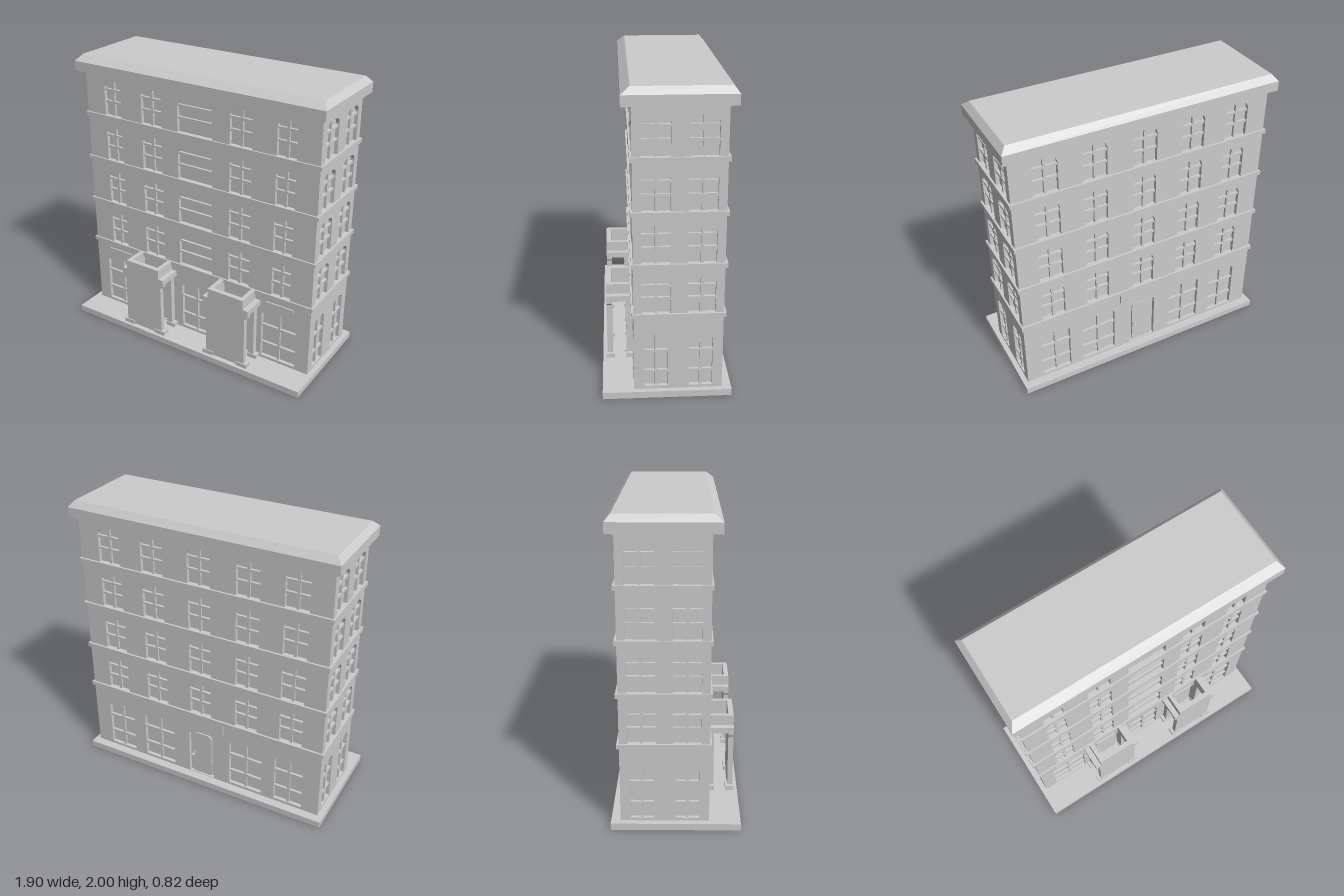
import * as THREE from 'three';

const mat = new THREE.MeshStandardMaterial({ color: 0xcccccc, flatShading: true });
const T = 0.025; // wall thickness, also the window recess

function mesh(name, geo, parent) {
  const m = new THREE.Mesh(geo, mat);
  m.name = name;
  parent.add(m);
  return m;
}

// Box given by its limits on each axis
function box(parent, name, x0, x1, y0, y1, z0, z1) {
  const m = mesh(name, new THREE.BoxGeometry(x1 - x0, y1 - y0, z1 - z0), parent);
  m.position.set((x0 + x1) / 2, (y0 + y1) / 2, (z0 + z1) / 2);
  return m;
}

// Rectangle whose top corners are cut into a faceted arch
function archPoints(x, w, y0, y1, c) {
  const half = [[w / 2, y0], [w / 2, y1 - c], [w / 2 - c * 0.3, y1 - c * 0.35], [w / 2 - c, y1]];
  const left = half.map(([a, b]) => [-a, b]).reverse();
  return [...half, ...left].map(([a, b]) => new THREE.Vector2(x + a, b));
}

function extrude(shape, depth) {
  return new THREE.ExtrudeGeometry(shape, { depth, bevelEnabled: false });
}

// Wall with openings; local +z points outward and z = 0 is the outer face
function wall(parent, name, width, openings) {
  const g = new THREE.Group();
  g.name = name;
  const w = width / 2;
  const shape = new THREE.Shape([[-w, 0.04], [w, 0.04], [w, 1.9], [-w, 1.9]].map(p => new THREE.Vector2(...p)));
  for (const o of openings) shape.holes.push(new THREE.Path(archPoints(o.x, o.w, o.y0, o.y1, o.c)));
  mesh('wallPanel', extrude(shape, T), g).position.z = -T;

  for (const o of openings) {
    if (o.door) {
      // door leaf and its knob
      const leaf = new THREE.Shape(archPoints(o.x, o.w - 0.05, o.y0, o.y1 - 0.02, o.c));
      mesh('doorLeaf', extrude(leaf, 0.012), g).position.z = -T;
      const kx = o.x - 0.065;
      box(g, 'knobPlate', kx - 0.01, kx + 0.01, 0.2, 0.228, -0.014, -0.007);
      box(g, 'knobStem', kx - 0.004, kx + 0.004, 0.21, 0.218, -0.01, 0.008);
      mesh('knob', new THREE.SphereGeometry(0.01, 8, 6), g).position.set(kx, 0.214, 0.012);
    } else {
      // glazing bars
      for (const y of o.rows) box(g, 'crossBar', o.x - o.w / 2, o.x + o.w / 2, y - 0.008, y + 0.008, -T, -0.007);
      for (const x of o.cols) box(g, 'uprightBar', o.x + x - 0.009, o.x + x + 0.009, o.y0, o.y1, -T, -0.009);
    }
  }
  parent.add(g);
  return g;
}

const floors = [0.582, 0.917, 1.252, 1.587];
const upperWindows = list => floors.flatMap(y => list.map(([x, w]) => ({
  x, w, y0: y, y1: y + 0.248, c: w > 0.2 ? 0.06 : 0.04,
  rows: [y + 0.1, y + 0.185], cols: w > 0.2 ? [] : [0],
})));
const groundWindows = list => list.map(([x, w]) => ({
  x, w, y0: 0.065, y1: 0.435, c: 0.03, rows: [0.17, 0.315], cols: [0],
}));
const door = (x, w) => ({ x, w, y0: 0.05, y1: 0.42, c: 0.03, door: true });

// Free-standing door porch, open on top, centred on x = 0
function porch(parent, x) {
  const g = new THREE.Group();
  g.name = 'porch';
  g.position.x = x;
  // pierced front with stepped top
  const half = [[0.1, 0.05], [0.155, 0.05], [0.155, 0.435], [0.18, 0.455], [0.18, 0.51], [0.14, 0.51], [0.14, 0.58]];
  const inner = [[-0.06, 0.49], [-0.1, 0.43], [-0.1, 0.05]];
  const left = half.map(([a, b]) => [-a, b]).reverse();
  const outline = [...half, ...left, ...inner, ...inner.map(([a, b]) => [-a, b]).reverse()];
  // remove the doubled foot corners
  const points = outline.filter((p, i) => i === 0 || p[0] !== outline[i - 1][0] || p[1] !== outline[i - 1][1]);
  points.pop();
  mesh('porchFront', extrude(new THREE.Shape(points.map(p => new THREE.Vector2(...p))), 0.035), g).position.z = 0.345;
  for (const s of [-1, 1]) {
    const side = (name, a, b, ...r) => box(g, name, Math.min(s * a, s * b), Math.max(s * a, s * b), ...r);
    side('columnFoot', 0.095, 0.18, 0.045, 0.075, 0.33, 0.387);
    side('pilaster', 0.115, 0.155, 0.045, 0.475, 0.2, 0.25);
    side('pilasterFoot', 0.11, 0.18, 0.045, 0.075, 0.2, 0.256);
    side('sideBeam', 0.11, 0.18, 0.47, 0.51, 0.2, 0.35);
    side('sideParapet', 0.11, 0.14, 0.51, 0.58, 0.2, 0.35);
  }
  box(g, 'doorLintel', -0.08, 0.08, 0.435, 0.47, 0.2, 0.222);
  parent.add(g);
}

export function createModel() {
  const model = new THREE.Group();
  model.name = 'townBuilding';

  box(model, 'basePlate', -0.95, 0.945, 0, 0.045, -0.41, 0.41);
  // inner block seen as the window panes
  box(model, 'windowPanes', -0.91 + T, 0.91 - T, 0.04, 1.9, -0.35 + T, 0.21 - T);

  // walls
  const front = wall(model, 'frontWall', 1.82, [
    ...upperWindows([[-0.68, 0.14], [-0.352, 0.165], [0, 0.275], [0.352, 0.165], [0.68, 0.14]]),
    ...groundWindows([[-0.68, 0.265], [0, 0.24], [0.675, 0.265]]),
    door(-0.35, 0.23), door(0.35, 0.23),
  ]);
  front.position.z = 0.21;
  const back = wall(model, 'backWall', 1.82, [
    ...upperWindows([-0.68, -0.35, 0, 0.35, 0.68].map(x => [x, 0.165])),
    ...groundWindows([[-0.68, 0.21], [-0.35, 0.25], [0.35, 0.25], [0.68, 0.21]]),
    door(0, 0.2),
  ]);
  back.position.z = -0.35;
  back.rotation.y = Math.PI;
  for (const s of [-1, 1]) {
    const side = wall(model, s > 0 ? 'leftWall' : 'rightWall', 0.56 - 2 * T, [
      ...upperWindows([[-0.14, 0.175], [0.14, 0.175]]),
      ...groundWindows([[-0.142, 0.147], [0.142, 0.147]]),
    ]);
    side.position.set(s * 0.91, 0, -0.07);
    side.rotation.y = s * Math.PI / 2;
  }

  // string courses between the floors
  for (const y of floors) box(model, 'floorBand', -0.923, 0.923, y - 0.03, y, -0.365, 0.222);

  // trim on the ground floor
  for (const s of [-1, 1]) {
    box(model, 'windowLedge', s * 0.68 - 0.105, s * 0.68 + 0.105, 0.503, 0.52, 0.2, 0.22);
    porch(model, s * 0.35);
  }
  box(model, 'backDoorHeader', -0.18, 0.18, 0.475, 0.57, -0.364, -0.34);

  // cornice and sloped roof edge
  box(model, 'cornice', -0.95, 0.95, 1.89, 1.957, -0.4, 0.27);
  const roof = box(model, 'roof', -0.95, 0.95, 1.957, 2, -0.4, 0.27);
  const p = roof.geometry.attributes.position;
  for (let i = 0; i < p.count; i++) {
    if (p.getY(i) > 0) p.setXYZ(i, p.getX(i) * 0.962, p.getY(i), p.getZ(i) > 0 ? p.getZ(i) - 0.055 : p.getZ(i) + 0.037);
  }
  roof.geometry.computeVertexNormals();
  return model;
}
